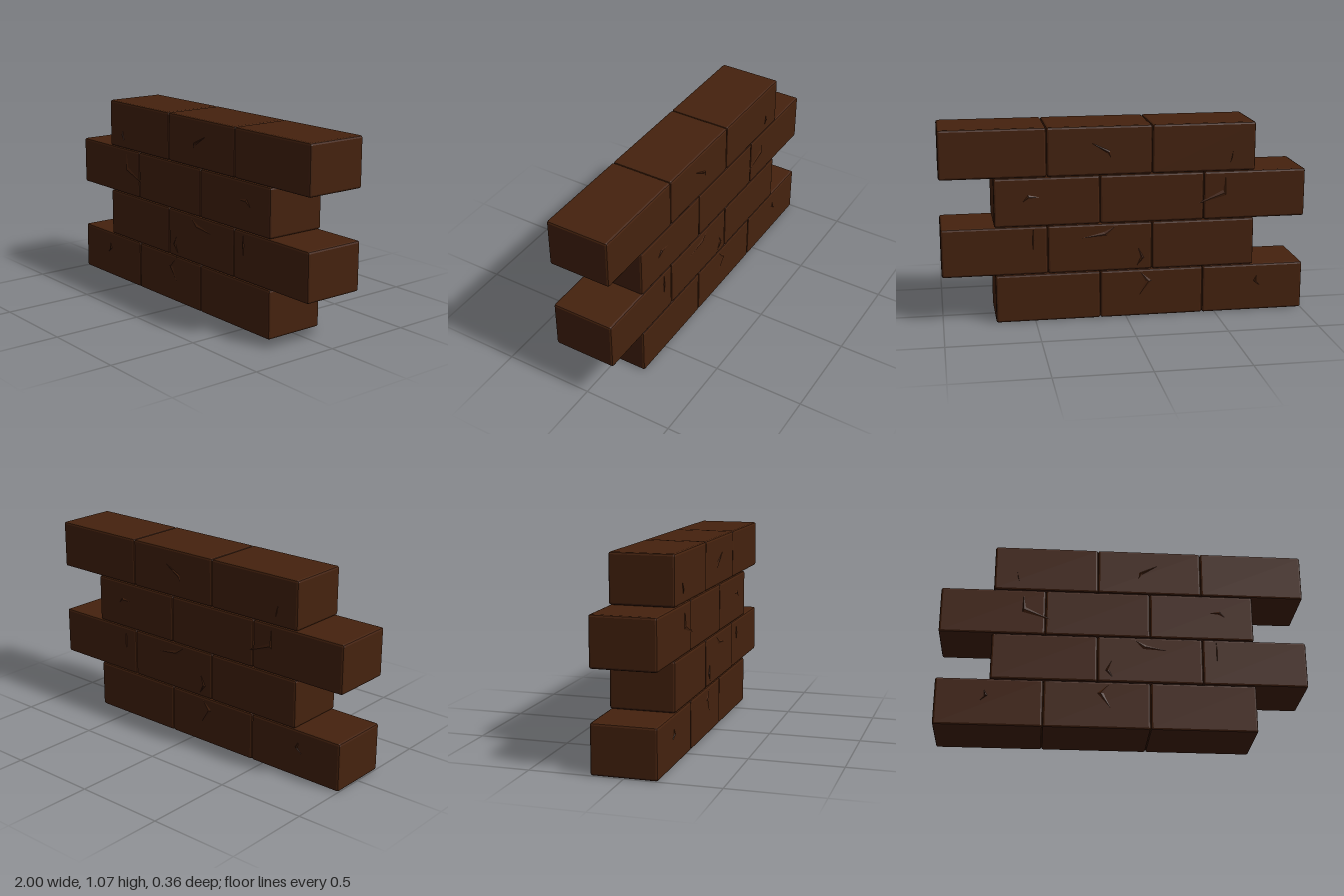
import * as THREE from 'three';
import { RoundedBoxGeometry } from 'three/addons/geometries/RoundedBoxGeometry.js';

const W = 2 / 3.5, H = 0.2675, D = 0.35, BEVEL = 0.012;

// Outlines of the stone chips: tip, outer bend, tip, inner bend (x, y)
const CHIPS = [
  [[-0.59, 0.92], [-0.582, 0.88], [-0.572, 0.84], [-0.585, 0.88]],
  [[0.205, 0.99], [0.085, 0.935], [0.08, 0.89], [0.105, 0.925]],
  [[-0.55, 0.79], [-0.535, 0.7], [-0.37, 0.615], [-0.555, 0.665]],
  [[0.46, 0.695], [0.53, 0.71], [0.565, 0.665], [0.525, 0.688]],
  [[0.05, 0.525], [0.125, 0.49], [0.265, 0.455], [0.105, 0.465]],
  [[0.505, 0.525], [0.512, 0.46], [0.508, 0.39], [0.503, 0.46]],
  [[-0.06, 0.405], [-0.1, 0.335], [-0.055, 0.285], [-0.078, 0.335]],
  [[-0.07, 0.262], [-0.105, 0.2], [-0.06, 0.1], [-0.145, 0.2]],
  [[-0.74, 0.205], [-0.72, 0.17], [-0.765, 0.135], [-0.738, 0.165]],
];

// Low faceted ridge: each outline edge fans to a raised point between the bends
function chipGeometry(outline, side) {
  const pts = outline.map(([x, y]) => new THREE.Vector2(x, y));
  if (THREE.ShapeUtils.isClockWise(pts) === (side > 0)) pts.reverse();
  const apex = [
    (outline[1][0] + outline[3][0]) / 2,
    (outline[1][1] + outline[3][1]) / 2,
    side * (D / 2 + 0.006),
  ];
  const base = side * (D / 2 - 0.001);
  const pos = [];
  pts.forEach((a, i) => {
    const b = pts[(i + 1) % pts.length];
    pos.push(a.x, a.y, base, b.x, b.y, base, ...apex);
  });
  const g = new THREE.BufferGeometry();
  g.setAttribute('position', new THREE.Float32BufferAttribute(pos, 3));
  g.computeVertexNormals();
  return g;
}

export function createModel() {
  const group = new THREE.Group();
  group.name = 'brickWall';
  const brown = new THREE.MeshStandardMaterial({ color: 0x45220e });
  brown.name = 'darkBrownBrick';

  // Chamfered bricks in four staggered courses
  let brickGeo = new RoundedBoxGeometry(W, H, D, 1, BEVEL);
  if (brickGeo.index) brickGeo = brickGeo.toNonIndexed();
  brickGeo.computeVertexNormals();
  for (let row = 0; row < 4; row++) {
    const course = new THREE.Group();
    course.name = `course${row + 1}`;
    for (let i = 0; i < 3; i++) {
      const brick = new THREE.Mesh(brickGeo, brown);
      brick.name = `brick${i + 1}`;
      brick.position.set(-1 + W * (i + 0.5 + (row % 2) * 0.5), H * (row + 0.5), 0);
      course.add(brick);
    }
    group.add(course);
  }

  // Chips on the front, mirrored to the back
  for (const side of [1, -1]) {
    CHIPS.forEach((outline, i) => {
      const chip = new THREE.Mesh(chipGeometry(outline, side), brown);
      chip.name = `${side > 0 ? 'front' : 'back'}Chip${i + 1}`;
      group.add(chip);
    });
  }
  return group;
}
